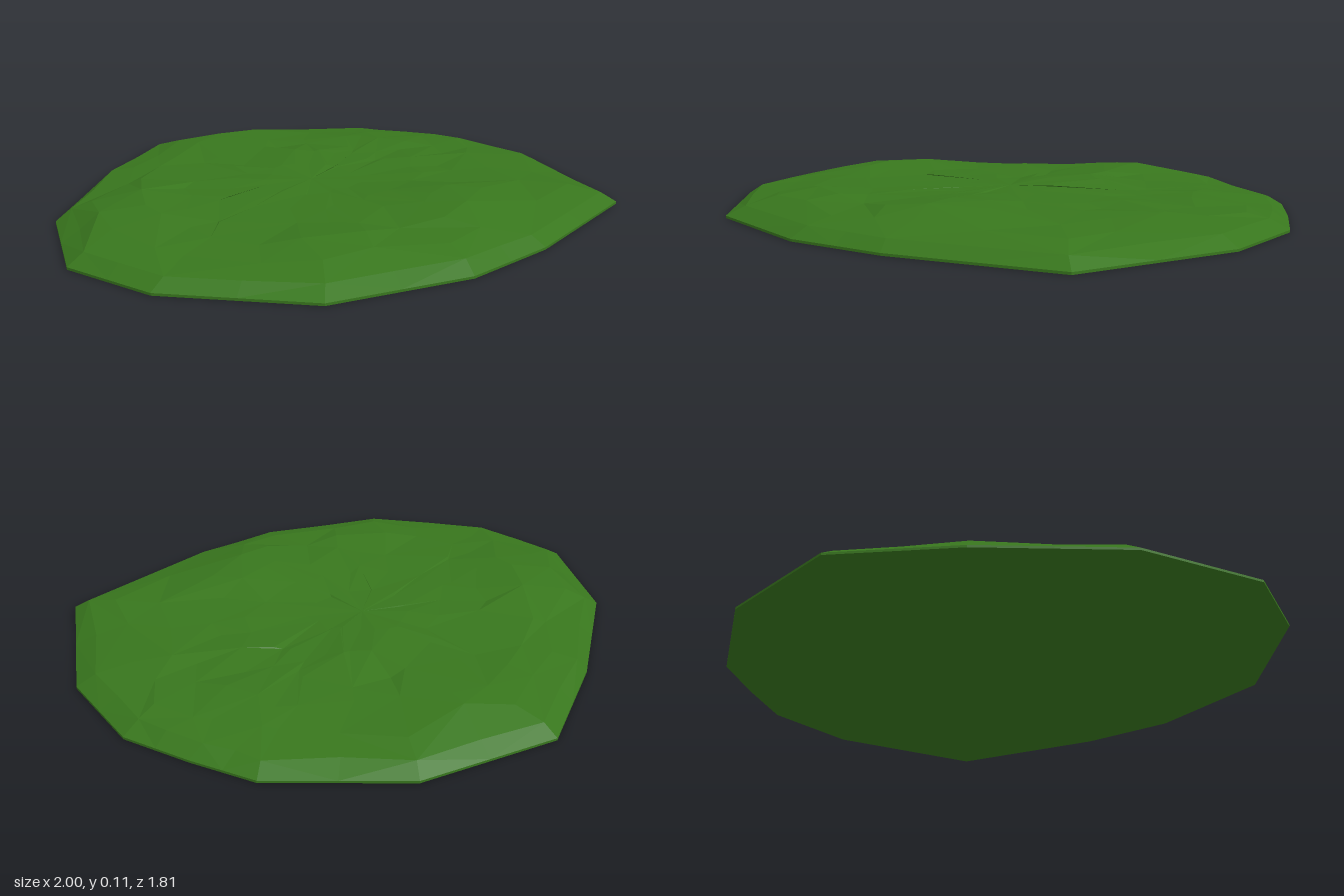
import * as THREE from 'three';

// Irregular ground outline, [x, z], clockwise from the back
const OUTLINE = [
  [0.10, -0.91], [0.55, -0.75], [0.87, -0.41], [0.94, -0.19], [1.0, 0.05],
  [0.93, 0.40], [0.61, 0.88], [0.03, 0.90], [-0.32, 0.85], [-0.75, 0.63],
  [-0.99, 0.20], [-1.0, -0.14], [-0.74, -0.50], [-0.30, -0.75],
];

// Low mounds: x, z, radius, extra height
const MOUNDS = [
  [0.05, 0.55, 0.25, 0.038], [-0.60, -0.22, 0.24, 0.036], [0.20, -0.64, 0.18, 0.03],
  [0.18, -0.20, 0.18, 0.025], [-0.45, 0.45, 0.2, 0.018],
];

// Rings from the underside over the rim to the middle: scale, height, jitter
const RINGS = [
  [1, 0, 0], [1, 0.008, 0], [0.94, 0.042, 0.012], [0.83, 0.058, 0.035],
  [0.68, 0.066, 0.05], [0.52, 0.066, 0.05], [0.36, 0.068, 0.04], [0.18, 0.07, 0.025],
];

function seeded(seed) {
  return () => {
    seed = (seed * 16807) % 2147483647;
    return (seed / 2147483647) * 2 - 1;
  };
}

function patchGeometry() {
  const rand = seeded(4271);
  // Split every outline edge in two
  const edge = OUTLINE.flatMap(([x, z], i) => {
    const [nx, nz] = OUTLINE[(i + 1) % OUTLINE.length];
    return [[x, z], [(x + nx) / 2, (z + nz) / 2]];
  });
  const n = edge.length;
  const position = [];
  const index = [];

  RINGS.forEach(([scale, height, jitter]) => {
    for (const [ex, ez] of edge) {
      const x = ex * scale + rand() * jitter;
      const z = ez * scale + rand() * jitter;
      let y = height + rand() * jitter * 0.16;
      if (jitter > 0.02) {
        for (const [mx, mz, r, h] of MOUNDS) {
          y += h * Math.exp(-((x - mx) ** 2 + (z - mz) ** 2) / (r * r));
        }
      }
      position.push(x, Math.min(y, 0.11), z);
    }
  });

  // Bands between neighbouring rings
  for (let r = 0; r < RINGS.length - 1; r++) {
    for (let j = 0; j < n; j++) {
      const k = (j + 1) % n;
      const a = r * n + j, a2 = r * n + k;
      const b = a + n, b2 = a2 + n;
      if ((r + j) % 2) index.push(a2, a, b, a2, b, b2);
      else index.push(a2, a, b2, a, b, b2);
    }
  }

  // Flat underside and the middle of the top
  const under = position.length / 3;
  position.push(0, 0, 0, 0, 0.075, 0);
  const top = (RINGS.length - 1) * n;
  for (let j = 0; j < n; j++) {
    const k = (j + 1) % n;
    index.push(under, j, k, under + 1, top + k, top + j);
  }

  const indexed = new THREE.BufferGeometry();
  indexed.setAttribute('position', new THREE.Float32BufferAttribute(position, 3));
  indexed.setIndex(index);
  const geometry = indexed.toNonIndexed();
  geometry.computeVertexNormals();
  return geometry;
}

export function createModel() {
  const group = new THREE.Group();
  group.name = 'grassPatch';
  const grass = new THREE.Mesh(
    patchGeometry(),
    new THREE.MeshStandardMaterial({ color: 0x38761d, flatShading: true })
  );
  grass.name = 'grassMound';
  group.add(grass);
  return group;
}
